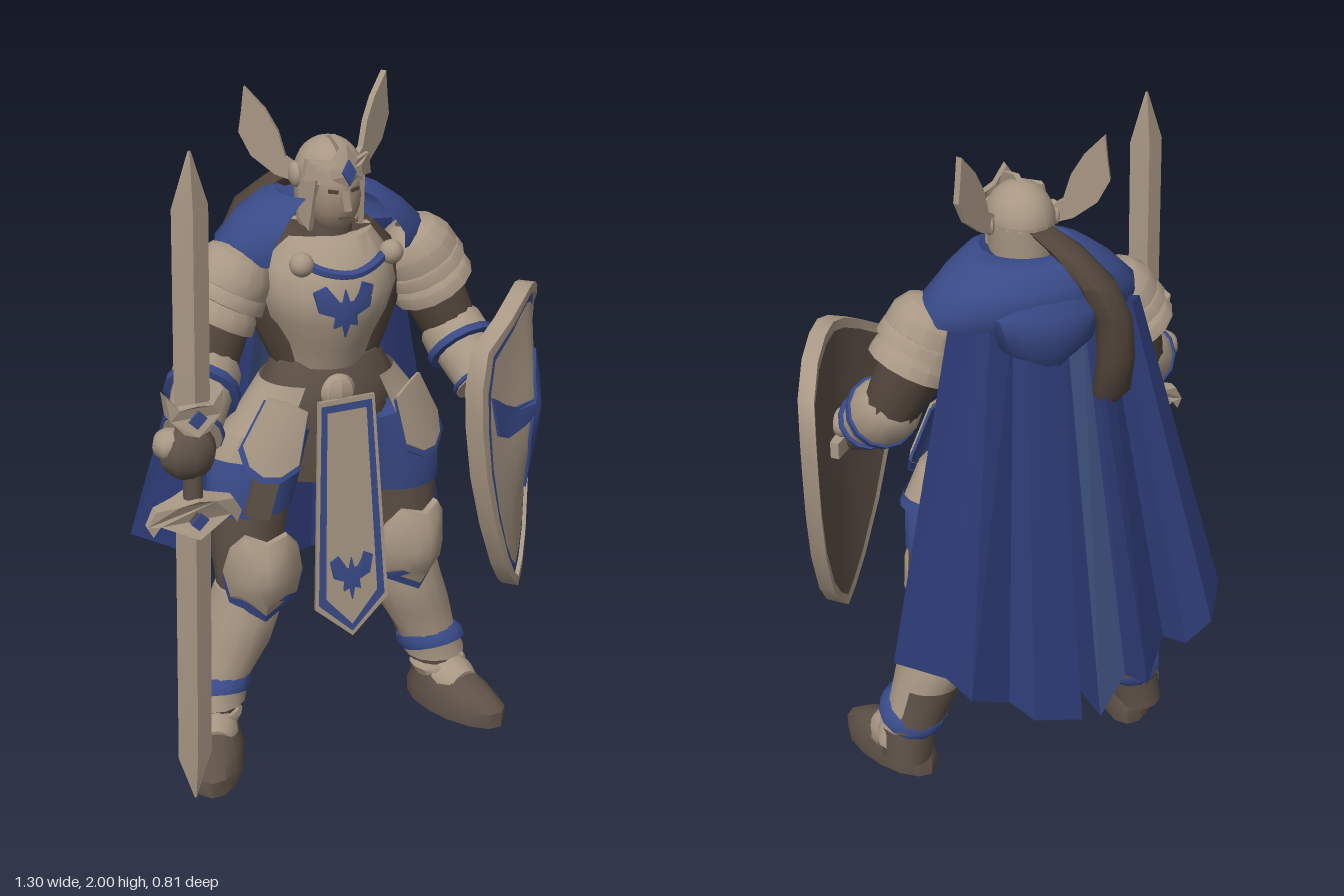
import * as THREE from 'three';
import { toCreasedNormals } from 'three/addons/utils/BufferGeometryUtils.js';

const mat = (name, color) => new THREE.MeshStandardMaterial({ name, color, side: THREE.DoubleSide });
const steel = mat('warm steel', 0xa89784), blue = mat('blue cloth', 0x394a88), leather = mat('brown leather', 0x5e5147);
const dark = mat('dark brown', 0x51443a), skin = mat('skin', 0x9c8875);
const capeBlue = mat('deep blue cape', 0x2d3b76), paleBlue = mat('pale blue lining', 0x455a8c);

const V = (p) => new THREE.Vector3(...p);
const build = (pos, idx) => {
  const g = new THREE.BufferGeometry();
  g.setAttribute('position', new THREE.Float32BufferAttribute(pos, 3));
  g.setIndex(idx);
  return g;
};
// Horizontal elliptical rings [x, y, z, rx, rz], bottom to top; angle 0 faces the front
function loft(rings, n = 14, a0 = 0, a1 = Math.PI * 2) {
  const pos = [], idx = [], w = n + 1, top = (rings.length - 1) * w;
  for (const [x, y, z, rx, rz] of rings)
    for (let j = 0; j <= n; j++) {
      const a = a0 + (a1 - a0) * j / n;
      pos.push(x + rx * Math.sin(a), y, z + rz * Math.cos(a));
    }
  for (let i = 0; i < rings.length - 1; i++)
    for (let j = 0; j < n; j++) {
      const b = i * w + j, t = b + w;
      idx.push(b, b + 1, t + 1, b, t + 1, t);
    }
  if (a1 - a0 > 6.2) {
    const c = pos.length / 3;
    pos.push(...rings[0].slice(0, 3), ...rings[rings.length - 1].slice(0, 3));
    for (let j = 0; j < n; j++) idx.push(c, j + 1, j, c + 1, top + j, top + j + 1);
  }
  return build(pos, idx);
}
// Curved plate: an outline shrunk in rows [sx, offset, sy], outside to inside
function plate(outline, rows, bend = () => 0) {
  const pos = [], idx = [], n = outline.length;
  for (const [sx, dz, sy = sx] of rows)
    for (const [x, y] of outline) pos.push(x * sx, y * sy, bend(x * sx, y * sy) + dz);
  for (let i = 0; i < rows.length - 1; i++)
    for (let j = 0; j < n; j++) {
      const a = i * n + j, b = i * n + (j + 1) % n;
      idx.push(a, b, b + n, a, b + n, a + n);
    }
  return build(pos, idx);
}
// Left half plus right half of a symmetric outline, listed from top to bottom
const sym = (half) => [...half.map(([x, y]) => [-x, y]), ...half.filter(([x]) => x).reverse()];
const scaled = (pts, sx, sy) => pts.map(([x, y]) => [x * sx, y * sy]);
const full = [[1, -0.004], [1, 0.005], [0.6, 0.006], [0.3, 0.006], [0, 0.006]];
// Round limb section from a to b, with profile [t, radius]
function limb(a, b, prof, n = 14) {
  const A = V(a), d = V(b).sub(A), len = d.length();
  const g = new THREE.LatheGeometry(prof.map(([t, r]) => new THREE.Vector2(r, t * len)), n);
  g.applyQuaternion(new THREE.Quaternion().setFromUnitVectors(V([0, 1, 0]), d.normalize()));
  return g.translate(A.x, A.y, A.z);
}
const at = (g, p, r = [0, 0, 0]) =>
  g.applyMatrix4(new THREE.Matrix4().compose(V(p), new THREE.Quaternion().setFromEuler(new THREE.Euler(...r)), V([1, 1, 1])));
const ball = (p, s, n = 14) => at(new THREE.SphereGeometry(1, n, 10).scale(...s), p);
const box = (p, s, r) => at(new THREE.BoxGeometry(...s), p, r);
const slab = (pts, depth, p, r) => at(new THREE.ExtrudeGeometry(
  new THREE.Shape(pts.map(([x, y]) => new THREE.Vector2(x, y))), { depth, bevelEnabled: false }).translate(0, 0, -depth / 2), p, r);
// Sword guard: a slab thinning towards its ends
function guard(half, depth, p) {
  const g = slab(sym(half), depth, [0, 0, 0]), q = g.attributes.position;
  for (let i = 0; i < q.count; i++) q.setZ(i, q.getZ(i) * (1.1 - Math.abs(q.getX(i)) / 0.15));
  return at(g, p);
}

export function createModel() {
  const root = new THREE.Group();
  root.name = 'knight';
  function add(name, geo, material, crease = 0.9, flip = false) {
    const g = geo.index ? geo.toNonIndexed() : geo.clone();
    g.deleteAttribute('uv');
    if (flip) { // mirror across x and restore the corner order
      const p = g.attributes.position, a = new THREE.Vector3(), b = new THREE.Vector3();
      g.scale(-1, 1, 1);
      for (let i = 0; i < p.count; i += 3) {
        a.fromBufferAttribute(p, i + 1); b.fromBufferAttribute(p, i + 2);
        p.setXYZ(i + 1, b.x, b.y, b.z); p.setXYZ(i + 2, a.x, a.y, a.z);
      }
    }
    const m = new THREE.Mesh(toCreasedNormals(g, crease), material);
    m.name = name;
    root.add(m);
  }
  const both = (name, geo, material, crease) => {
    add('left' + name, geo, material, crease);
    add('right' + name, geo, material, crease, true);
  };

  // Boots and ankles
  const boot = loft([[0, 0, 0, 0.086, 0.185], [0, 0.05, 0, 0.088, 0.185], [0, 0.085, -0.02, 0.076, 0.15], [0, 0.13, -0.07, 0.06, 0.09]]);
  both('Boot', at(boot, [0.4, 0, 0.10], [0, 0.4, 0]), leather);
  both('BootPlate', limb([0.39, 0.085, 0.06], [0.41, 0.075, 0.13], [[0, 0.078], [0.5, 0.076], [1, 0.06], [1, 0]]), steel);
  both('Ankle', loft([[0.385, 0.06, -0.01, 0.075, 0.08], [0.375, 0.13, 0, 0.08, 0.085], [0.36, 0.2, 0, 0.08, 0.09]]), leather);
  both('AnkleCuff', loft([[0.385, 0.10, 0.02, 0.085, 0.08], [0.375, 0.13, 0.02, 0.09, 0.085], [0.375, 0.145, 0.02, 0.08, 0.08]]), steel);
  // Legs
  both('Greave', loft([[0.365, 0.17, 0.01, 0.095, 0.093], [0.34, 0.25, 0, 0.09, 0.09], [0.295, 0.36, 0, 0.108, 0.115],
    [0.265, 0.45, 0, 0.11, 0.118], [0.25, 0.54, 0.01, 0.1, 0.1]]), steel);
  both('GreaveTrim', at(loft([[0.008, -0.02, 0, 0.1, 0.106], [0, 0.005, 0, 0.104, 0.11], [-0.008, 0.026, 0, 0.094, 0.1]]), [0.352, 0.212, 0.005], [-0.36, 0, 0.1]), blue);
  both('CalfStrap', loft([[0.358, 0.18, 0, 0.098, 0.096], [0.335, 0.24, -0.005, 0.094, 0.092], [0.305, 0.33, -0.005, 0.107, 0.112]], 8, 2.2, 4.1), leather);
  both('ThighLeather', loft([[0.25, 0.5, 0, 0.088, 0.09], [0.25, 0.62, 0, 0.1, 0.1], [0.24, 0.74, -0.01, 0.115, 0.112], [0.225, 0.85, -0.01, 0.128, 0.115]]), leather);
  both('ThighCloth', loft([[0.235, 0.79, -0.01, 0.128, 0.115], [0.215, 0.92, -0.005, 0.145, 0.12], [0.14, 1.04, 0, 0.12, 0.11]]), blue);
  const knee = sym([[0, 0.11], [0.06, 0.125], [0.1, 0.07], [0.118, -0.02], [0.1, -0.09], [0, -0.14]]);
  const kneeBend = (x, y) => -6 * x * x - 1.2 * y * y;
  both('KneeTrim', at(plate(knee, full, kneeBend), [0.25, 0.604, 0.165], [0.08, 0.2, 0]), blue);
  both('KneeGuard', at(plate(scaled(knee, 0.98, 0.98), [[1, -0.01], [1, 0.012], [0.7, 0.02], [0.35, 0.026], [0, 0.03]], kneeBend), [0.25, 0.626, 0.166], [0.08, 0.2, 0]), steel);

  // Hips: pelvis, side and front plates, belt and pouch
  add('pelvis', loft([[0, 0.86, 0, 0.14, 0.1], [0, 1.02, 0, 0.19, 0.115], [0, 1.15, 0, 0.17, 0.115]]), leather);
  both('HipPlate', loft([[0, 0.95, 0.005, 0.36, 0.16], [0, 1.04, 0.01, 0.315, 0.158], [0, 1.06, 0.01, 0.29, 0.146],
    [0, 1.18, 0.01, 0.2, 0.14]], 12, 0.6, 2.85), steel, 0.5);
  both('HipPlateTrim', loft([[0, 0.935, 0.005, 0.372, 0.17], [0, 0.968, 0.005, 0.36, 0.167]], 12, 0.6, 2.86), blue);
  const hipPlate = sym([[0, 0.11], [0.065, 0.1], [0.09, -0.06], [0.05, -0.11], [0, -0.125]]);
  const hipBend = (x) => -2.5 * x * x;
  both('FrontHipTrim', at(plate(hipPlate, full, hipBend), [0.225, 1.053, 0.168], [-0.25, 0.5, 0.42]), blue, 0.4);
  both('FrontHipPlate', at(plate(scaled(hipPlate, 0.92, 0.95), full, hipBend), [0.221, 1.069, 0.175], [-0.25, 0.5, 0.42]), steel, 0.4);
  add('belt', loft([[0, 1.10, 0.01, 0.2, 0.15], [0, 1.17, 0.01, 0.195, 0.15], [0, 1.25, 0.01, 0.15, 0.125]]), leather);
  add('buckle', ball([-0.03, 1.17, 0.16], [0.052, 0.052, 0.03], 8), steel, 0.3);
  add('hangingPouch', box([-0.25, 0.87, 0.13], [0.07, 0.12, 0.04], [0, -0.3, -0.25]), leather);

  // Tabard with a blue border
  const bird = sym([[0, 0.75], [0.12, 0.3], [0.4, 0.35], [0.6, 0.9], [1, 0.7], [0.85, 0], [0.35, -0.2], [0.4, -0.6], [0.12, -0.5], [0, -1]]);
  const tabard = sym([[0, 0.36], [0.085, 0.36], [0.115, -0.27], [0, -0.375]]);
  const tabardAt = (g, dy = 0, dz = 0) => at(g, [-0.017, 0.8 + dy, 0.217 + dz], [-0.07, 0, 0]);
  add('tabardEdge', tabardAt(plate(tabard, [[1, -0.01], [1, 0], [0.9, 0, 0.96]])), steel);
  add('tabardBorder', tabardAt(plate(tabard, [[0.9, 0, 0.96], [0.7, 0, 0.9]])), blue);
  add('tabardCloth', tabardAt(plate(tabard, [[0.7, 0, 0.9], [0, 0]])), steel);
  add('tabardBack', tabardAt(plate(tabard, [[0, -0.01], [1, -0.01]])), steel);
  add('tabardEmblem', tabardAt(plate(scaled(bird, 0.066, 0.075), full), -0.18, 0.015), blue);

  // Torso
  add('mailShirt', loft([[0, 1.2, 0, 0.15, 0.12], [0, 1.35, -0.01, 0.22, 0.13], [0, 1.5, -0.02, 0.25, 0.13], [0, 1.6, -0.02, 0.15, 0.1]]), dark);
  add('breastplate', loft([[-0.015, 1.23, 0.02, 0.12, 0.125], [-0.015, 1.3, 0.02, 0.138, 0.148], [-0.015, 1.38, 0.025, 0.175, 0.18],
    [-0.01, 1.46, 0.02, 0.2, 0.195], [-0.01, 1.53, 0.01, 0.19, 0.17], [0, 1.6, 0, 0.13, 0.12]], 18), steel);
  add('chestEmblem', at(plate(scaled(bird, 0.088, 0.08), full, (x, y) => -2.4 * x * x - 1.5 * y * y), [-0.03, 1.43, 0.217]), blue);
  const collar = new THREE.CatmullRomCurve3([[-0.13, 1.56, 0.14], [-0.08, 1.535, 0.175], [0, 1.52, 0.19], [0.07, 1.535, 0.175], [0.125, 1.56, 0.14]].map(V));
  add('collarTrim', new THREE.TubeGeometry(collar, 12, 0.014, 6), blue);
  both('CloakClasp', ball([0.133, 1.555, 0.15], [0.034, 0.034, 0.034]), steel);
  add('neck', loft([[0, 1.55, 0.02, 0.07, 0.07], [0, 1.68, 0.03, 0.06, 0.06]]), leather);

  // Shoulder plates in three overlapping layers
  [[0, 0.118, 0.08], [0.055, 0.126, 0.06], [0.11, 0.124, 0.06]].forEach(([d, r, l]) => {
    const a = [0.25 + d * 0.5, 1.55 - d, 0], b = [a[0] + l * 0.55, a[1] - l, 0];
    both('ShoulderPlate', limb(a, b, [[-0.35, 0.02], [0, r * 0.75], [0.45, r * 0.96], [0.95, r], [1, r * 0.9]]), steel, 0.6);
  });
  // Arms: upper arm, elbow guard, bracer, cuff and fist
  const arm = (side, elbow, hand, flip) => {
    const on = (t) => V(elbow).lerp(V(hand), t).toArray();
    const put = (part, g, m) => add(side + part, g, m, 0.9, flip);
    put('UpperArm', limb([0.3, 1.44, -0.01], elbow, [[0, 0.085], [0.5, 0.09], [1, 0.08], [1.2, 0]]), dark);
    put('ElbowGuard', limb(on(-0.28), on(0.28), [[0, 0], [0.08, 0.06], [0.5, 0.095], [1, 0.098], [1, 0.08]]), steel);
    put('ElbowTrim', limb(on(0.22), on(0.33), [[0, 0.099], [0.1, 0.106], [0.9, 0.106], [1, 0.085]]), blue);
    put('Bracer', limb(on(0.28), on(0.8), [[0, 0.085], [0.5, 0.08], [0.85, 0.075], [1, 0.083], [1, 0]]), steel);
    put('BracerTrim', limb(on(0.72), on(0.78), [[0, 0.07], [0.1, 0.086], [0.9, 0.087], [1, 0.07]]), blue);
    put('Fist', ball(hand, [0.08, 0.078, 0.066], 8), leather);
    put('HandPlate', ball([hand[0] + 0.045, hand[1] + 0.025, hand[2] - 0.015], [0.05, 0.045, 0.05], 8), steel);
  };
  arm('right', [0.375, 1.25, 0.05], [0.515, 1.125, 0.275], true);
  arm('left', [0.385, 1.25, 0.03], [0.42, 1.10, 0.22], false);

  // Mantle and hood over the shoulders, open at the front
  add('mantle', loft([[0, 1.535, -0.035, 0.315, 0.165], [0, 1.585, -0.04, 0.305, 0.185], [0, 1.645, -0.04, 0.245, 0.18], [0, 1.695, -0.03, 0.175, 0.15],
    [0, 1.71, -0.02, 0.13, 0.115], [0, 1.655, 0.01, 0.06, 0.055]], 20, 0.7, 5.58), blue);
  add('hoodFold', loft([[0, 1.40, -0.17, 0.03, 0.03], [0, 1.48, -0.16, 0.14, 0.08], [0, 1.58, -0.15, 0.18, 0.1], [0, 1.68, -0.09, 0.13, 0.08]], 10, 1.5, 4.78), blue);
  // Pleated cape in panels, from the mantle to the listed hem points
  const cape = [
    ['rightCapePanel', capeBlue, [[-0.32, 0.55, -0.15], [-0.52, 0.62, -0.26], [-0.45, 0.56, -0.36], [-0.37, 0.5, -0.36], [-0.33, 0.49, -0.29], [-0.23, 0.42, -0.4], [-0.2, 0.4, -0.31]]],
    ['capeLining', paleBlue, [[-0.2, 0.4, -0.31], [-0.085, 0.34, -0.395]]],
    ['innerCapePanel', capeBlue, [[-0.085, 0.34, -0.395], [-0.06, 0.37, -0.27]]],
    ['leftCapePanel', capeBlue, [[-0.04, 0.36, -0.29], [-0.03, 0.34, -0.39], [0.12, 0.38, -0.39], [0.17, 0.41, -0.32], [0.3, 0.48, -0.36], [0.34, 0.5, -0.26], [0.48, 0.56, -0.21], [0.33, 0.55, -0.14]]]];
  for (const [name, material, hem] of cape) {
    const pos = [], idx = [], n = hem.length;
    for (const [x, y, z] of hem) pos.push(x, y, z);
    for (const [x, , z] of hem) pos.push(x * 0.55, 1.55, -0.05 + 0.35 * z);
    for (let j = 0; j < n - 1; j++) idx.push(j + 1, j, n + j, j + 1, n + j, n + j + 1);
    add(name, build(pos, idx), material, 0.05);
  }

  // Head, face and helmet
  add('face', ball([0, 1.71, 0.055], [0.075, 0.105, 0.085]), skin);
  add('nose', slab([[0, 0], [0.025, 0], [0, 0.05]], 0.022, [0, 1.69, 0.135], [0, -Math.PI / 2, 0]), skin, 0.3);
  both('Eye', box([0.031, 1.74, 0.129], [0.028, 0.009, 0.008], [0, 0.35, 0.1]), dark);
  add('mouth', box([0, 1.665, 0.135], [0.035, 0.006, 0.008]), leather);
  add('helmetDome', at(new THREE.SphereGeometry(1, 16, 8, 0, Math.PI * 2, 0, 1.6).scale(0.095, 0.105, 0.11), [0, 1.76, 0.025]), steel);
  add('helmetBack', loft([[0, 1.62, 0.01, 0.08, 0.088], [0, 1.68, 0.02, 0.09, 0.098], [0, 1.77, 0.025, 0.095, 0.11]], 14, 1.0, 5.28), steel);
  add('helmetBrow', at(plate(sym([[0, 0.085], [0.035, 0.035], [0.09, 0.04], [0.1, -0.02], [0.04, -0.01], [0, -0.035]]),
    [[1, -0.01], [1, 0.012], [0.5, 0.018], [0, 0.022]], (x) => -7 * x * x), [0, 1.79, 0.14], [-0.1, 0, 0]), steel, 0.4);
  add('browGem', at(plate(sym([[0, 0.035], [0.02, 0], [0, -0.035]]), full), [0, 1.8, 0.163], [-0.1, 0, 0]), blue);
  both('CheekGuard', slab([[-0.03, 0.06], [0.04, 0.06], [0.04, -0.06], [0, -0.09]], 0.015, [0.075, 1.71, 0.075], [0, 1.25, 0]), steel);
  add('helmetCrest', slab([[-0.1, 0.03], [-0.06, 0.08], [0.02, 0.115], [0.11, 0.09], [0.13, 0.04], [0.02, 0.08]], 0.016, [0, 1.76, 0.03], [0, -Math.PI / 2, 0]), steel);
  both('HelmetWing', slab([[0, -0.02], [0.06, 0], [0.125, 0.05], [0.158, 0.115], [0.15, 0.17], [0.142, 0.24], [0.085, 0.18], [0.05, 0.12], [0.03, 0.05], [0, 0.03]], 0.018, [0.085, 1.76, 0.005], [0, 0.55, 0]), steel, 0.3);
  both('WingBase', ball([0.095, 1.765, 0.015], [0.018, 0.035, 0.035], 8), steel);
  // Long tail of hair
  add('hairTail', loft([[-0.17, 1.26, -0.19, 0.025, 0.02], [-0.18, 1.31, -0.205, 0.055, 0.04], [-0.185, 1.42, -0.215, 0.055, 0.048], [-0.175, 1.54, -0.22, 0.052, 0.048],
    [-0.13, 1.64, -0.195, 0.058, 0.058], [-0.07, 1.72, -0.125, 0.05, 0.055], [-0.02, 1.76, -0.06, 0.04, 0.04]], 9), dark);

  // Two-ended sword held upright
  const z = 0.29;
  add('lowerBlade', loft([[-0.53, 0.035, z, 0.004, 0.003], [-0.528, 0.18, z, 0.05, 0.024], [-0.512, 0.92, z, 0.05, 0.024]], 4), steel, 0.2);
  add('upperBlade', loft([[-0.506, 1.24, z, 0.05, 0.024], [-0.496, 1.81, z, 0.05, 0.024], [-0.493, 1.955, z, 0.004, 0.003]], 4), steel, 0.2);
  add('swordGrip', limb([-0.512, 0.9, z], [-0.506, 1.26, z], [[0, 0.028], [1, 0.028]], 8), leather);
  add('swordGuard', guard([[0, 0.06], [0.05, 0.045], [0.11, 0.035], [0.135, -0.01], [0.12, -0.04], [0.1, -0.01], [0.045, -0.035], [0, -0.055]], 0.09, [-0.51, 0.945, z]), steel, 0.3);
  add('upperGuard', guard([[0, 0.03], [0.045, 0.02], [0.08, 0.06], [0.07, -0.01], [0.035, -0.05], [0, -0.06]], 0.08, [-0.505, 1.25, z]), steel, 0.3);
  for (const s of [1, -1])
    for (const [x, y, d] of [[-0.51, 0.945, 0.048], [-0.505, 1.24, 0.042]])
      add('guardInlay', box([x, y, z + s * d], [0.04, 0.032, 0.009], [0, 0, 0.785]), blue);

  // Shield: rim, blue band, bulging face, back and emblem
  const outline = sym([[0, 0.43], [0.06, 0.415], [0.14, 0.375], [0.245, 0.31], [0.262, 0.2], [0.255, 0.08], [0.23, -0.08], [0.18, -0.25], [0.108, -0.41], [0.05, -0.49], [0, -0.53]]);
  const bend = (x, y) => -0.9 * x * x + 0.045 * Math.max(0, 1 - Math.hypot(x / 0.12, (y - 0.06) / 0.32));
  const onShield = (g, p = [0, 0, 0]) => at(at(g, p), [0.502, 1.01, 0.245], [0, 0.82, 0]);
  add('shieldRim', onShield(plate(outline, [[0.93, -0.03], [1, -0.03], [1, 0.02], [0.91, 0.02, 0.94], [0.9, 0.008, 0.93]], bend)), steel);
  add('shieldBand', onShield(plate(outline, [[0.9, 0.008, 0.93], [0.8, 0.008, 0.865]], bend)), blue);
  add('shieldFace', onShield(plate(outline, [[0.8, 0.008, 0.865], [0.6, 0.008], [0.4, 0.008], [0.2, 0.008], [0, 0.008]], bend)), steel);
  add('shieldBack', onShield(plate(outline, [[0, -0.03], [0.5, -0.03], [0.93, -0.03]], (x) => -0.9 * x * x)), leather);
  add('shieldStrap', onShield(box([-0.02, 0.06, -0.05], [0.2, 0.05, 0.03])), steel);
  const raised = [[1, 0.012], [1, 0.02], [0.66, 0.02], [0.33, 0.02], [0, 0.02]];
  const emblem = (name, pts, cx, cy) =>
    add(name, onShield(plate(pts, raised, (x, y) => bend(x + cx, y + cy)), [cx, cy, 0]), blue, 0.4);
  emblem('shieldSpike', sym([[0, 0.17], [0.022, 0.08], [0.022, 0.03], [0.035, -0.03], [0.035, -0.1], [0.022, -0.15], [0, -0.27]]), 0, 0.07);
  const wing = [[-0.11, 0.025], [-0.11, -0.02], [-0.03, -0.04], [0.03, -0.055], [0.08, -0.03], [0.115, 0.1], [0.05, 0.055], [0, 0.03]];
  emblem('shieldLeftWing', wing, 0.1, 0.065);
  emblem('shieldRightWing', wing.map(([x, y]) => [-x, y]).reverse(), -0.1, 0.065);
  return root;
}
